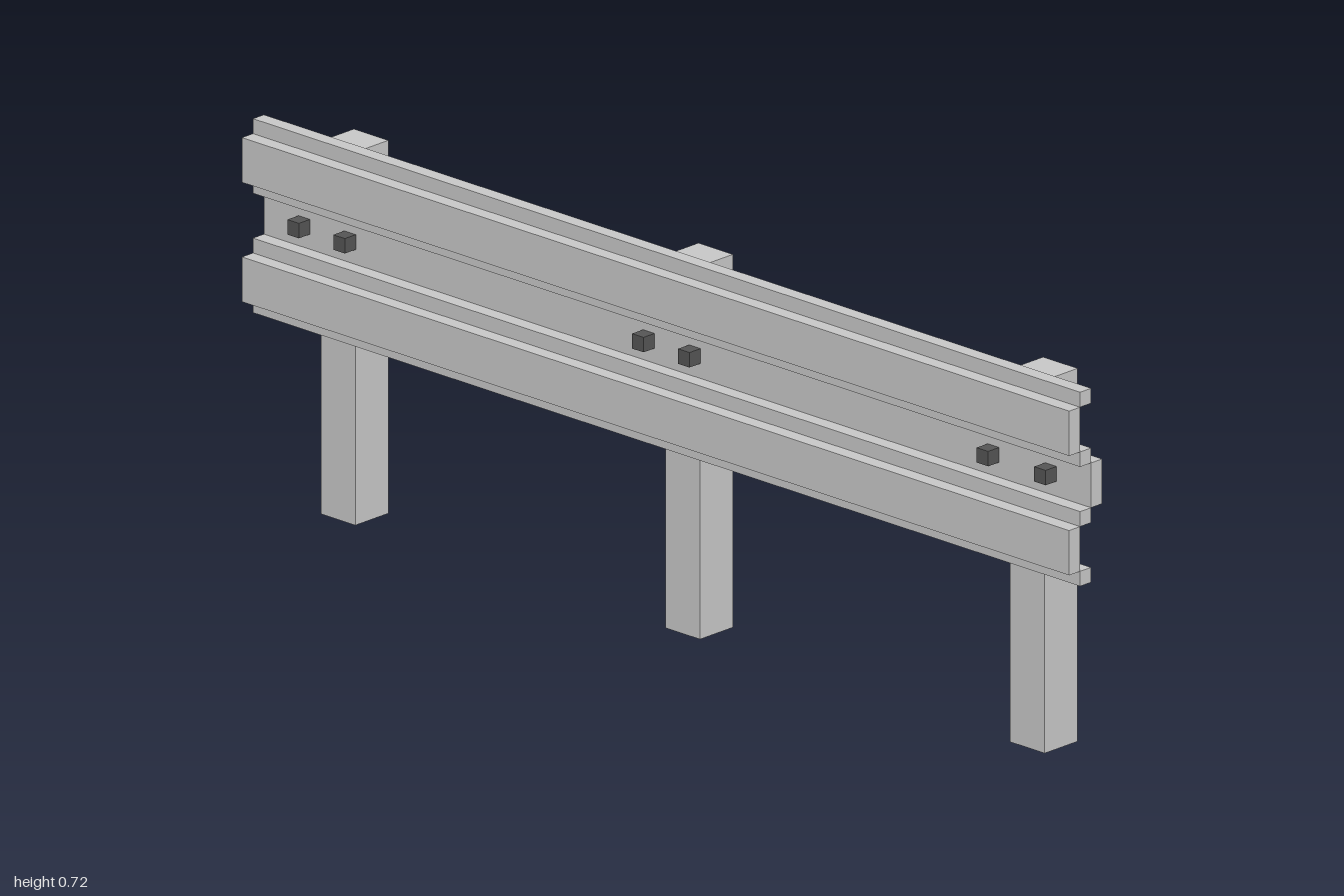
import * as THREE from 'three';

const U = 1 / 36; // grid unit: the rail is 72 units long

export function createModel() {
  const group = new THREE.Group();
  const steel = new THREE.MeshStandardMaterial({ color: 0xc8c8c8 });
  steel.name = 'galvanised steel';
  const dark = new THREE.MeshStandardMaterial({ color: 0x555555 });
  dark.name = 'dark bolt metal';

  // Box given by its lowest corner and size, in grid units
  function block(name, material, [x, y, z], [w, h, d]) {
    const mesh = new THREE.Mesh(new THREE.BoxGeometry(w * U, h * U, d * U), material);
    mesh.position.set((x + w / 2) * U, (y + h / 2) * U, (z + d / 2) * U);
    mesh.name = name;
    group.add(mesh);
  }

  // Posts behind the rail
  for (const x of [-32, -2, 28]) block('post', steel, [x, 0, -3], [3, 25, 3]);

  // Stepped W-shaped rail: recessed centre, four step strips, two raised faces
  block('railCentre', steel, [-36, 18, 0], [72, 3, 1]);
  for (const y of [13, 17, 21, 25]) block('railStep', steel, [-36, y, 1], [72, 1, 1]);
  for (const y of [14, 22]) block('railFace', steel, [-36, y, 2], [72, 3, 1]);

  // Bolt heads on the recessed centre, a pair at each post
  for (const x of [-33, -29, -3, 1, 27, 32]) block('bolt', dark, [x, 19, 1], [1, 1, 1]);

  return group;
}
